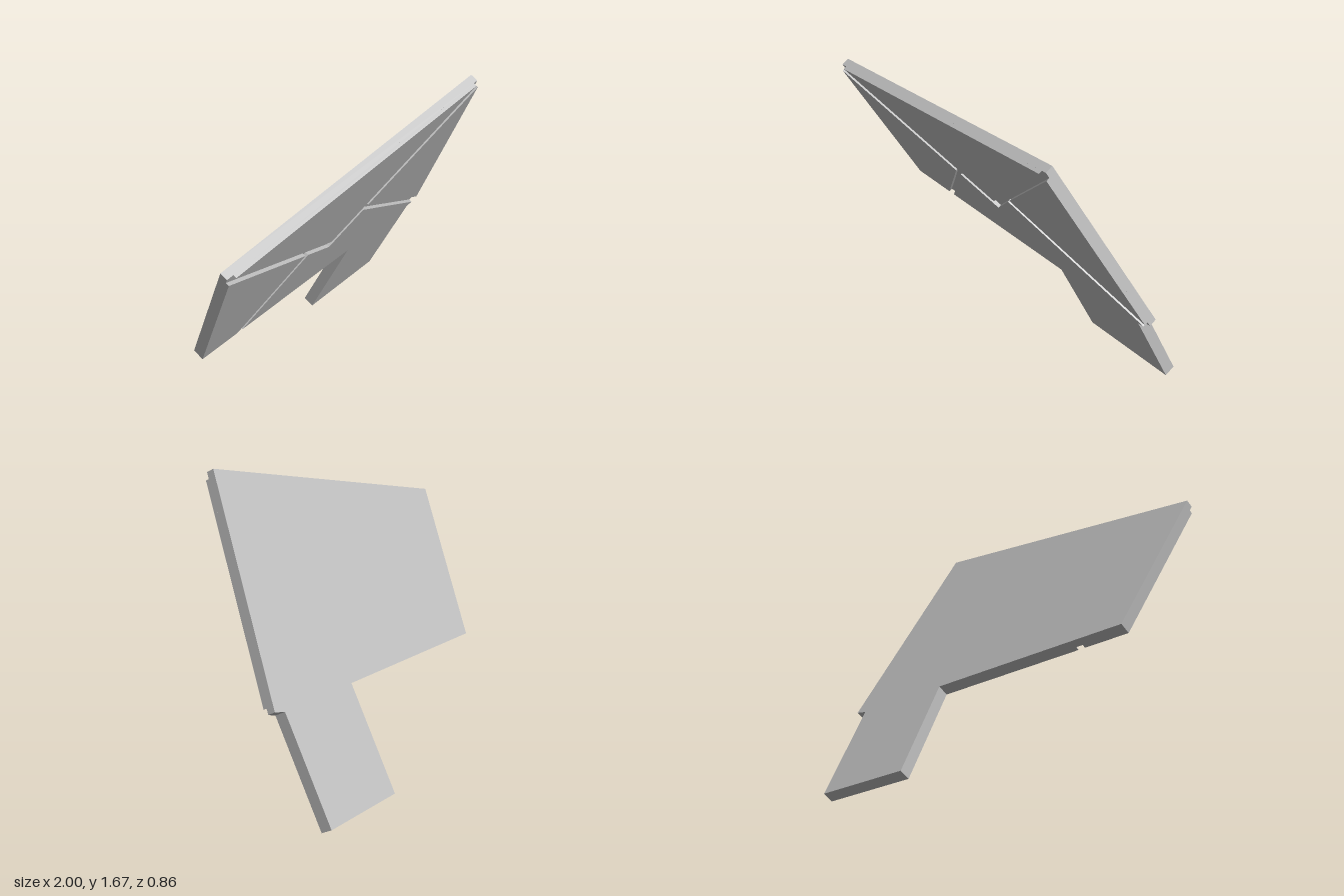
import * as THREE from 'three';

const TILT = Math.atan2(0.8, 1.637);
const THICKNESS = 0.064;
const GROOVE = 0.02;

// Extrudes an outline given as (x, upright height), stretched onto the tilted plane
function plate(name, points, zBack, depth, material) {
  const shape = new THREE.Shape(points.map(([x, y]) => new THREE.Vector2(x, y / Math.cos(TILT))));
  const geometry = new THREE.ExtrudeGeometry(shape, { depth, bevelEnabled: false });
  geometry.translate(0, 0, zBack);
  const mesh = new THREE.Mesh(geometry, material);
  mesh.name = name;
  return mesh;
}

export function createModel() {
  const grey = new THREE.MeshStandardMaterial({ color: 0xc0c0c0 });
  grey.name = 'grey';

  const model = new THREE.Group();
  model.name = 'tiltedPanel';
  const slab = new THREE.Group();
  slab.name = 'slab';
  slab.rotation.x = TILT;
  slab.position.z = -0.37;
  model.add(slab);

  // Full outline behind the grooves
  const outline = [[-1, 1.33], [-0.83, 0.54], [0.365, 0.54], [0.365, 0], [0.93, 0],
    [0.93, 0.54], [1, 0.555], [0.765, 1.637]];
  slab.add(plate('backing', outline, -THICKNESS, THICKNESS - GROOVE, grey));

  // Raised front panels, the gaps between them form the grooves
  const panels = {
    topPanel: [[-0.96, 1.337], [0.01, 0.88], [0.737, 1.632]],
    leftPanel: [[-0.995, 1.305], [-0.83, 0.54], [-0.565, 0.54], [-0.25, 0.957]],
    rightPanel: [[0.22, 1.04], [0.994, 0.582], [0.772, 1.605]],
    lowerPanel: [[-0.22, 0.943], [-0.525, 0.54], [0.365, 0.54], [0.365, 0], [0.93, 0],
      [0.93, 0.54], [0.97, 0.549], [0.195, 1.015], [0.02, 0.83]],
  };
  for (const [name, points] of Object.entries(panels)) {
    slab.add(plate(name, points, -GROOVE, GROOVE, grey));
  }
  return model;
}
